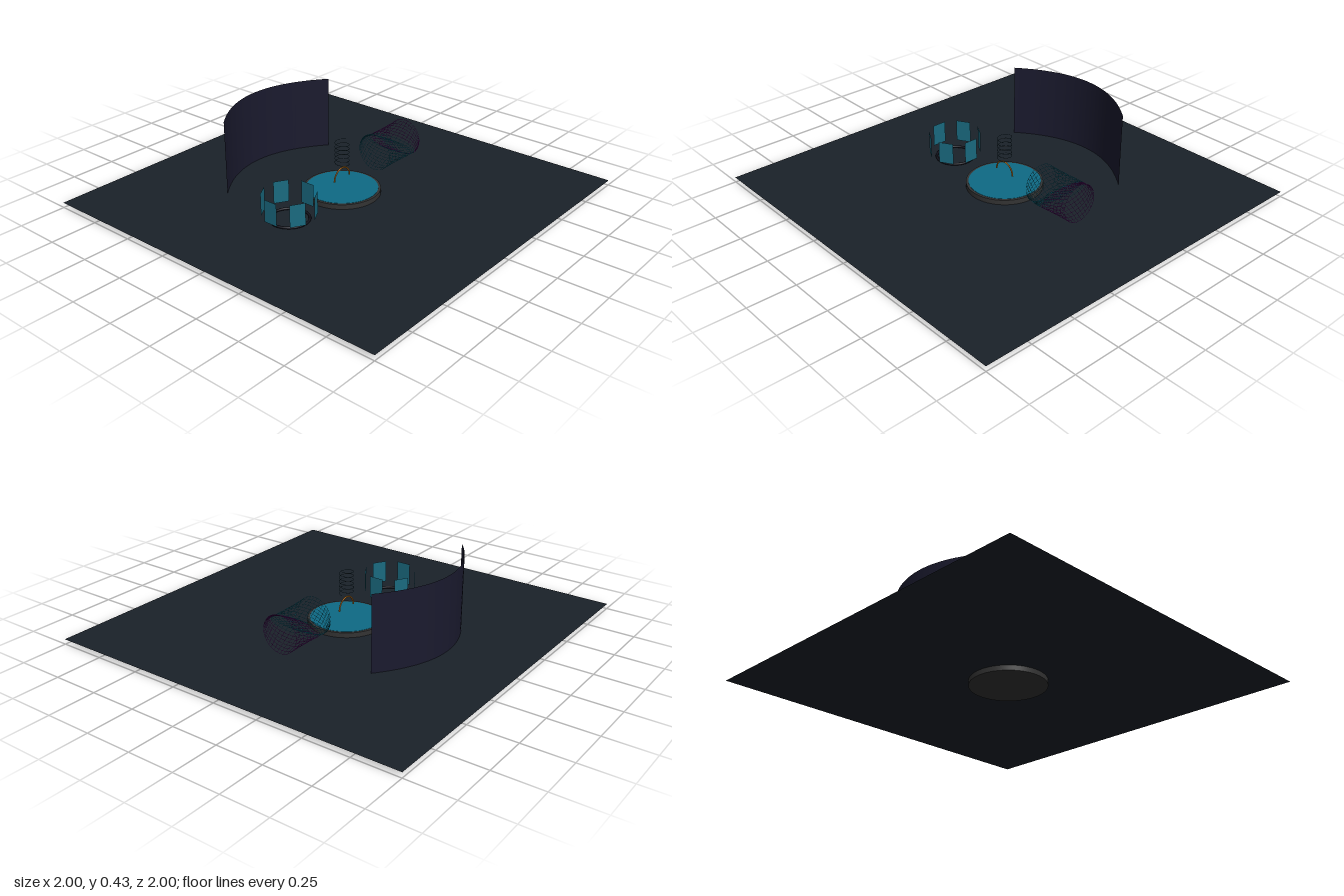
import * as THREE from 'three';

export function createModel() {
  const model = new THREE.Group();
  const FLOOR = 0.027;

  const mat = (color, open = false) =>
    new THREE.MeshStandardMaterial({ color, side: open ? THREE.DoubleSide : THREE.FrontSide });
  const add = (name, geo, material, parent = model) => {
    const mesh = new THREE.Mesh(geo, material);
    mesh.name = name;
    parent.add(mesh);
    return mesh;
  };
  const group = (name, x, y, z) => {
    const g = new THREE.Group();
    g.name = name;
    g.position.set(x, y, z);
    model.add(g);
    return g;
  };
  // thin wire through points
  const wire = (pts, closed, radius, steps) =>
    new THREE.TubeGeometry(new THREE.CatmullRomCurve3(pts, closed), steps, radius, 4, closed);

  // floor sheet
  add('floor', new THREE.PlaneGeometry(2, 2).rotateX(-Math.PI / 2), mat(0x1a2129, true)).position.y = FLOOR;

  // curved back wall: a flat sheet bowed forward at both ends
  const wallGeo = new THREE.PlaneGeometry(0.8, 0.4, 32, 1);
  const p = wallGeo.attributes.position;
  for (let i = 0; i < p.count; i++) p.setZ(i, 1.045 * p.getX(i) ** 2);
  wallGeo.computeVertexNormals();
  add('backWall', wallGeo, mat(0x1a1a2e, true)).position.set(0, FLOOR + 0.2, -0.6);

  // round pedestal with an inlaid disc
  add('pedestal', new THREE.CylinderGeometry(0.2, 0.2, 0.053, 64), mat(0x333333)).position.y = 0.0265;
  add('pedestalDisc', new THREE.CylinderGeometry(0.187, 0.187, 0.002, 64), mat(0x0e6a85)).position.y = 0.0535;

  // half-ring arch above the disc
  add('arch', new THREE.TorusGeometry(0.06, 0.004, 8, 40, Math.PI), mat(0xb87018, true)).position.y = 0.102;

  // fine coil above the arch
  const coil = [];
  for (let i = 0; i <= 96; i++) {
    const a = (i / 16) * Math.PI * 2;
    coil.push(new THREE.Vector3(0.037 * Math.cos(a), 0.18 + 0.13 * (i / 96), 0.037 * Math.sin(a)));
  }
  add('coil', wire(coil, false, 0.0013, 240), mat(0x16323c));

  // ring of six upright panels around a dark base ring
  const ring = group('panelRing', -0.4, FLOOR, 0);
  const base = add('baseRing', new THREE.TorusGeometry(0.1, 0.0067, 8, 48), mat(0x12121c), ring);
  base.rotation.x = Math.PI / 2;
  base.position.y = 0.01;
  const panelMat = mat(0x1a6a80, true);
  for (let i = 0; i < 6; i++) {
    const a = (i / 6) * Math.PI * 2;
    const panel = add('panel', new THREE.PlaneGeometry(0.08, 0.12), panelMat, ring);
    panel.position.set(0.133 * Math.cos(a), 0.091, 0.133 * Math.sin(a));
    panel.rotation.y = Math.PI / 2 - a;
  }

  // lattice sculpture: round at both ends, squeezed flat and wide at the waist
  const lattice = group('latticeSculpture', 0.4, 0.155, 0);
  const cyan = mat(0x14728a);
  const purple = mat(0x6a1a80);
  const surfacePoint = (x, a) => {
    const t = Math.abs(x) / 0.133; // 0 at the waist, 1 at the ends
    const halfY = 0.03 + 0.07 * t;
    const halfZ = 0.155 - 0.055 * t ** 1.4;
    return new THREE.Vector3(x, halfY * Math.sin(a), halfZ * Math.cos(a));
  };
  const SPLIT = 0.02;
  for (let i = 0; i <= 16; i++) {
    const x = -0.133 + (0.266 * i) / 16;
    const pts = [];
    for (let j = 0; j < 32; j++) pts.push(surfacePoint(x, (j / 32) * Math.PI * 2));
    add('latticeHoop', wire(pts, true, 0.001, 64), x < SPLIT ? cyan : purple, lattice);
  }
  const rib = (a, from, to, material) => {
    const pts = [];
    for (let k = 0; k <= 10; k++) pts.push(surfacePoint(from + ((to - from) * k) / 10, a));
    add('latticeRib', wire(pts, false, 0.001, 20), material, lattice);
  };
  for (let j = 0; j < 32; j++) {
    const a = (j / 32) * Math.PI * 2;
    rib(a, -0.133, SPLIT, cyan);
    rib(a, SPLIT, 0.133, purple);
  }

  return model;
}
